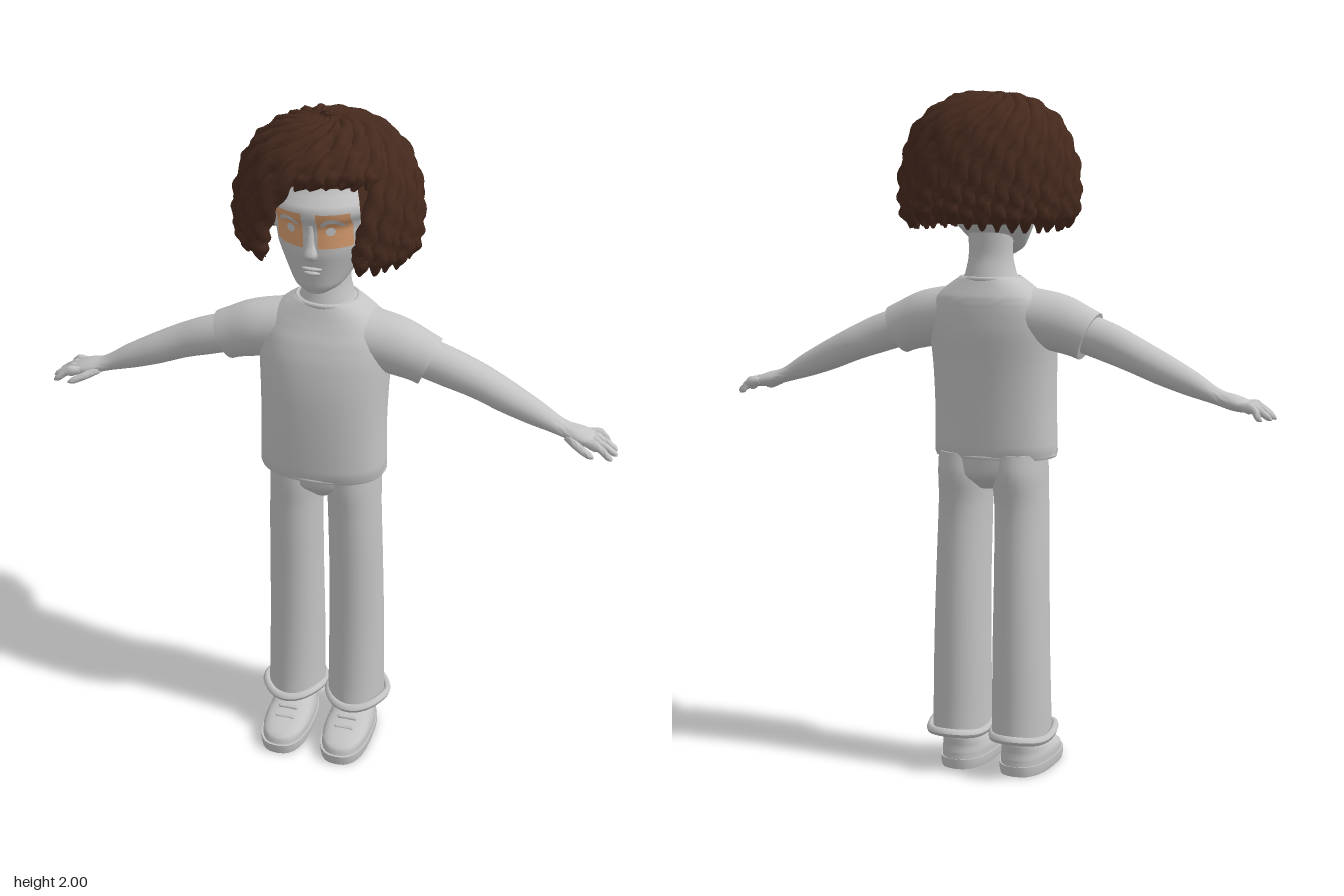
import * as THREE from 'three';
import { toCreasedNormals, mergeGeometries } from 'three/addons/utils/BufferGeometryUtils.js';

const clay = new THREE.MeshStandardMaterial({ name: 'clayGrey', color: 0xc4c4c4 });
const brown = new THREE.MeshStandardMaterial({ name: 'hairBrown', color: 0x462a1e, side: THREE.DoubleSide });
const tan = new THREE.MeshStandardMaterial({ name: 'eyeTan', color: 0xdca071 });

// rows are [x, y, z, radius across, radius in z]; returns smoothly subdivided rows
function smoothRows(rows, k = 4) {
  const centre = new THREE.CatmullRomCurve3(rows.map(r => new THREE.Vector3(r[0], r[1], r[2])));
  const size = new THREE.CatmullRomCurve3(rows.map(r => new THREE.Vector3(r[3], r[4], 0)));
  const n = (rows.length - 1) * k;
  return Array.from({ length: n + 1 }, (_, i) => {
    const p = centre.getPoint(i / n), s = size.getPoint(i / n);
    return [p.x, p.y, p.z, s.x, s.y];
  });
}

// closed body skinned over elliptical (or squarer) sections
function loft(rows, { k = 4, seg = 28, power = 2 } = {}) {
  const R = k > 1 ? smoothRows(rows, k) : rows;
  const pos = [], idx = [], n = R.length;
  const bend = v => Math.sign(v) * Math.abs(v) ** (2 / power);
  R.forEach((r, i) => {
    const a = R[Math.max(0, i - 1)], b = R[Math.min(n - 1, i + 1)];
    const len = Math.hypot(b[0] - a[0], b[1] - a[1]) || 1;
    const ux = (b[1] - a[1]) / len, uy = -(b[0] - a[0]) / len;
    for (let j = 0; j < seg; j++) {
      const t = j / seg * Math.PI * 2, c = bend(Math.cos(t)) * r[3], s = bend(Math.sin(t)) * r[4];
      pos.push(r[0] + ux * c, r[1] + uy * c, r[2] + s);
      if (i < n - 1) {
        const p = i * seg + j, q = i * seg + (j + 1) % seg;
        idx.push(p, p + seg, q, q, p + seg, q + seg);
      }
    }
  });
  const first = pos.length / 3, last = (n - 1) * seg;
  pos.push(...R[0].slice(0, 3), ...R[n - 1].slice(0, 3));
  for (let j = 0; j < seg; j++) {
    const m = (j + 1) % seg;
    idx.push(first, j, m, first + 1, last + m, last + j);
  }
  const g = new THREE.BufferGeometry();
  g.setAttribute('position', new THREE.Float32BufferAttribute(pos, 3));
  g.setIndex(idx);
  return toCreasedNormals(g, 1);
}

const headRows = [
  [0, 1.53, 0.105, 0.03, 0.03], [0, 1.55, 0.085, 0.065, 0.06], [0, 1.60, 0.045, 0.1, 0.108],
  [0, 1.66, 0.015, 0.13, 0.15], [0, 1.74, 0, 0.145, 0.165], [0, 1.82, -0.01, 0.145, 0.165],
  [0, 1.90, -0.02, 0.115, 0.13], [0, 1.95, -0.02, 0.04, 0.05]];
const headSkin = smoothRows(headRows);

// depth of the face surface at a point seen from the front
function faceZ(x, y) {
  const i = Math.max(1, headSkin.findIndex(r => r[1] >= y));
  const a = headSkin[i - 1], b = headSkin[i], t = (y - a[1]) / (b[1] - a[1]);
  const [, , cz, rx, rz] = a.map((v, m) => v + (b[m] - v) * t);
  return cz + rz * Math.sqrt(Math.max(0, 1 - (x / rx) ** 2));
}

// lays a flat geometry onto the face
function drape(g, cx, cy, lift) {
  const p = g.attributes.position;
  for (let i = 0; i < p.count; i++) {
    const x = p.getX(i) + cx, y = p.getY(i) + cy;
    p.setXYZ(i, x, y, faceZ(x, y) + lift);
  }
  g.computeVertexNormals();
  return g;
}

// hair dome: radius and height from crown to tips
const dome = new THREE.CatmullRomCurve3([[0.012, 1.972], [0.1, 1.95], [0.175, 1.89], [0.215, 1.81],
  [0.228, 1.72], [0.225, 1.66], [0.215, 1.6]].map(([r, y]) => new THREE.Vector3(r, y, 0)));

// one two-strand twisted lock lying on the dome
function lock(angle, end, width, offset, phase) {
  const steps = 44, seg = 8, pos = [], idx = [];
  const at = t => {
    const p = dome.getPoint(t), a = angle + 1.6 * (1 - t) ** 3, r = p.x + offset;
    return new THREE.Vector3(r * Math.sin(a), p.y + offset * (1 - t), r * Math.cos(a) * 0.92 - 0.01);
  };
  for (let i = 0; i <= steps; i++) {
    const f = i / steps, t = f * end, c = at(t);
    const T = at(Math.min(1, t + 0.01)).sub(at(Math.max(0, t - 0.01))).normalize();
    const out = new THREE.Vector3(c.x, (c.y - 1.7) * 0.8, c.z).normalize();
    const side = T.clone().cross(out).normalize();
    out.crossVectors(side, T);
    const w = width * Math.min(1, 0.35 + f * 2) * (f > 0.88 ? 1 - (f - 0.88) * 7 : 1);
    for (let j = 0; j < seg; j++) {
      const q = j / seg * Math.PI * 2;
      const r = w * (0.62 + 0.45 * Math.abs(Math.cos(q - f * end * 24 + phase)));
      const v = c.clone().addScaledVector(side, Math.cos(q) * r).addScaledVector(out, Math.sin(q) * r);
      pos.push(v.x, v.y, v.z);
      if (i < steps) {
        const a = i * seg + j, b = i * seg + (j + 1) % seg;
        idx.push(a, b, a + seg, b, b + seg, a + seg);
      }
    }
  }
  const g = new THREE.BufferGeometry();
  g.setAttribute('position', new THREE.Float32BufferAttribute(pos, 3));
  g.setIndex(idx);
  g.computeVertexNormals();
  return g;
}

export function createModel() {
  const model = new THREE.Group();
  const add = (name, geo, mat = clay, parent = model) => {
    const m = new THREE.Mesh(geo, mat);
    m.name = name;
    parent.add(m);
    return m;
  };
  const ball = (name, x, y, z, sx, sy, sz) => {
    const m = add(name, new THREE.SphereGeometry(1, 16, 12));
    m.position.set(x, y, z);
    m.scale.set(sx, sy, sz);
  };

  // shirt, collar, hips, neck
  add('shirt', loft([[0, 0.945, 0.04, 0.18, 0.12], [0, 0.96, 0.04, 0.184, 0.125], [0, 1.1, 0.037, 0.181, 0.129],
    [0, 1.22, 0.03, 0.184, 0.131], [0, 1.31, 0.018, 0.19, 0.128], [0, 1.37, 0.008, 0.185, 0.117],
    [0, 1.41, 0, 0.165, 0.105], [0, 1.445, 0, 0.125, 0.09], [0, 1.47, 0, 0.088, 0.08]], { seg: 40, power: 2.3 }));
  const ring = (name, y, z, rx, rz, tube) => {
    const g = new THREE.TorusGeometry(1, tube, 8, 40).rotateX(Math.PI / 2).scale(rx, tube < 0.06 ? 0.14 : 0.1, rz);
    add(name, g).position.set(0, y, z);
  };
  ring('collar', 1.465, 0, 0.087, 0.08, 0.07);
  ring('shirtHem', 0.952, 0.04, 0.177, 0.12, 0.05);
  add('hips', loft([[0, 0.855, 0.02, 0.04, 0.06], [0, 0.9, 0.018, 0.15, 0.1], [0, 0.97, 0.02, 0.165, 0.105]]));
  add('neck', loft([[0, 1.43, 0, 0.1, 0.085], [0, 1.48, 0, 0.075, 0.07], [0, 1.54, 0, 0.065, 0.056],
    [0, 1.64, 0, 0.068, 0.06]]));

  // head and face
  add('head', loft(headRows, { seg: 36 }));
  add('nose', loft([[0, 1.64, 0.158, 0.012, 0.01], [0, 1.655, 0.163, 0.02, 0.024], [0, 1.69, 0.16, 0.012, 0.017],
    [0, 1.75, 0.155, 0.01, 0.01]], { seg: 12 }));
  ball('upperLip', 0, 1.612, 0.149, 0.03, 0.007, 0.014);
  ball('lowerLip', 0, 1.598, 0.146, 0.025, 0.008, 0.014);

  for (const s of [1, -1]) {
    const side = s > 0 ? 'left' : 'right';
    const flip = rows => rows.map(([x, ...rest]) => [s * x, ...rest]);
    const limb = (name, rows, opt) => add(side + name, loft(flip(rows), opt));

    // painted eye: square plate with pale lid and lower curve
    add(side + 'EyePlate', drape(new THREE.PlaneGeometry(0.085, 0.106, 8, 8), s * 0.0625, 1.73, 0.003), tan);
    add(side + 'EyeLid', drape(new THREE.RingGeometry(0.02, 0.032, 16, 1, 0.2, 2.7), s * 0.06, 1.738, 0.006));
    add(side + 'EyeSpot', drape(new THREE.CircleGeometry(0.012, 14), s * 0.055, 1.728, 0.006));
    ball(side + 'Ear', s * 0.148, 1.69, -0.01, 0.015, 0.04, 0.026);

    // sleeve and arm
    limb('Sleeve', [[0.09, 1.365, 0.005, 0.08, 0.09], [0.2, 1.342, 0.01, 0.083, 0.08],
      [0.27, 1.318, 0.01, 0.075, 0.07], [0.3, 1.305, 0.01, 0.073, 0.067]]);
    limb('Arm', [[0.27, 1.32, 0.008, 0.058, 0.056], [0.36, 1.29, 0.006, 0.056, 0.054], [0.44, 1.258, 0, 0.05, 0.052],
      [0.52, 1.222, 0.002, 0.045, 0.047], [0.6, 1.187, 0.004, 0.036, 0.038], [0.68, 1.152, 0.005, 0.022, 0.03],
      [0.73, 1.138, 0.006, 0.022, 0.04], [0.765, 1.13, 0.006, 0.017, 0.042], [0.78, 1.126, 0.006, 0.01, 0.036]], { seg: 20 });
    for (let i = 0; i < 4; i++) {
      const z = -0.027 + i * 0.022, spread = z * 1.35, reach = [0.815, 0.835, 0.84, 0.83][i];
      limb('Finger' + (i + 1), [[0.75, 1.134, z, 0.011, 0.01], [0.79, 1.126, (z + spread) / 2, 0.011, 0.01],
        [reach - 0.01, 1.104, spread, 0.009, 0.009], [reach, 1.098, spread, 0.003, 0.004]], { seg: 10 });
    }
    limb('Thumb', [[0.695, 1.14, 0.025, 0.013, 0.014], [0.73, 1.125, 0.05, 0.012, 0.013],
      [0.765, 1.11, 0.064, 0.01, 0.011], [0.78, 1.105, 0.068, 0.003, 0.004]], { seg: 10 });

    // trouser leg with flared wavy cuff
    limb('TrouserLeg', [[0.095, 0.125, 0.012, 0.086, 0.108], [0.095, 0.2, 0.01, 0.085, 0.103],
      [0.094, 0.36, 0.008, 0.083, 0.098], [0.093, 0.55, 0.012, 0.08, 0.095], [0.089, 0.8, 0.022, 0.078, 0.094],
      [0.085, 0.9, 0.018, 0.08, 0.104], [0.083, 0.96, 0.02, 0.08, 0.1]]);
    const cuff = new THREE.TorusGeometry(1, 0.12, 8, 40).rotateX(Math.PI / 2).scale(0.09, 0.11, 0.112);
    const p = cuff.attributes.position;
    for (let i = 0; i < p.count; i++) {
      const a = Math.atan2(p.getZ(i), p.getX(i));
      p.setY(i, p.getY(i) + 0.008 * Math.sin(a) + 0.005 * Math.sin(a * 3));
    }
    cuff.computeVertexNormals();
    add(side + 'Cuff', cuff).position.set(s * 0.1, 0.127, 0.012);

    // ankle and shoe
    limb('Ankle', [[0.095, 0.06, 0.01, 0.045, 0.052], [0.095, 0.14, 0.01, 0.042, 0.05]], { k: 1 });
    limb('ShoeSole', [[0.095, 0, 0.092, 0.072, 0.148], [0.095, 0.012, 0.092, 0.075, 0.15],
      [0.095, 0.03, 0.092, 0.075, 0.15]], { k: 1, power: 2.6 });
    limb('ShoeUpper', [[0.095, 0.028, 0.09, 0.071, 0.146], [0.095, 0.05, 0.086, 0.071, 0.141],
      [0.095, 0.064, 0.07, 0.067, 0.122], [0.095, 0.078, 0.04, 0.062, 0.092], [0.095, 0.098, 0.012, 0.054, 0.064],
      [0.095, 0.108, 0.008, 0.05, 0.056]], { power: 2.5 });
    for (let i = 0; i < 3; i++) {
      const lace = add(side + 'Lace' + (i + 1), new THREE.CapsuleGeometry(0.006, 0.05, 3, 8).rotateZ(Math.PI / 2));
      lace.position.set(s * 0.095, 0.096 - i * 0.012, 0.08 + i * 0.034);
    }
  }

  // hair: inner cap open at the face, covered by twisted locks
  const hair = new THREE.Group();
  hair.name = 'hair';
  model.add(hair);
  const profile = (a, b) => Array.from({ length: 9 }, (_, i) => {
    const q = dome.getPoint(a + (b - a) * i / 8);
    return new THREE.Vector2(q.x - 0.006, q.y);
  }).reverse();
  const cap = (name, a, b, gap) => {
    const g = new THREE.LatheGeometry(profile(a, b), 40, gap, Math.PI * 2 - gap * 2).scale(1, 1, 0.92);
    add(name, g, brown, hair).position.z = -0.01;
  };
  cap('crownCap', 0, 0.42, 0);
  cap('sideCap', 0.42, 0.93, 0.66);
  const locks = [], count = 34;
  for (let i = 0; i < count; i++) {
    const a = (i + 0.5) / count * Math.PI * 2 - Math.PI, front = Math.abs(a) < 0.56;
    const jitter = Math.sin(i * 12.9) * 0.5 + 0.5;
    locks.push(lock(a, front ? 0.42 + 0.05 * Math.abs(a) : 0.94 + 0.06 * jitter, 0.029, 0.003 + 0.008 * (i % 2), i * 1.3));
  }
  add('twistedLocks', mergeGeometries(locks), brown, hair);
  return model;
}
